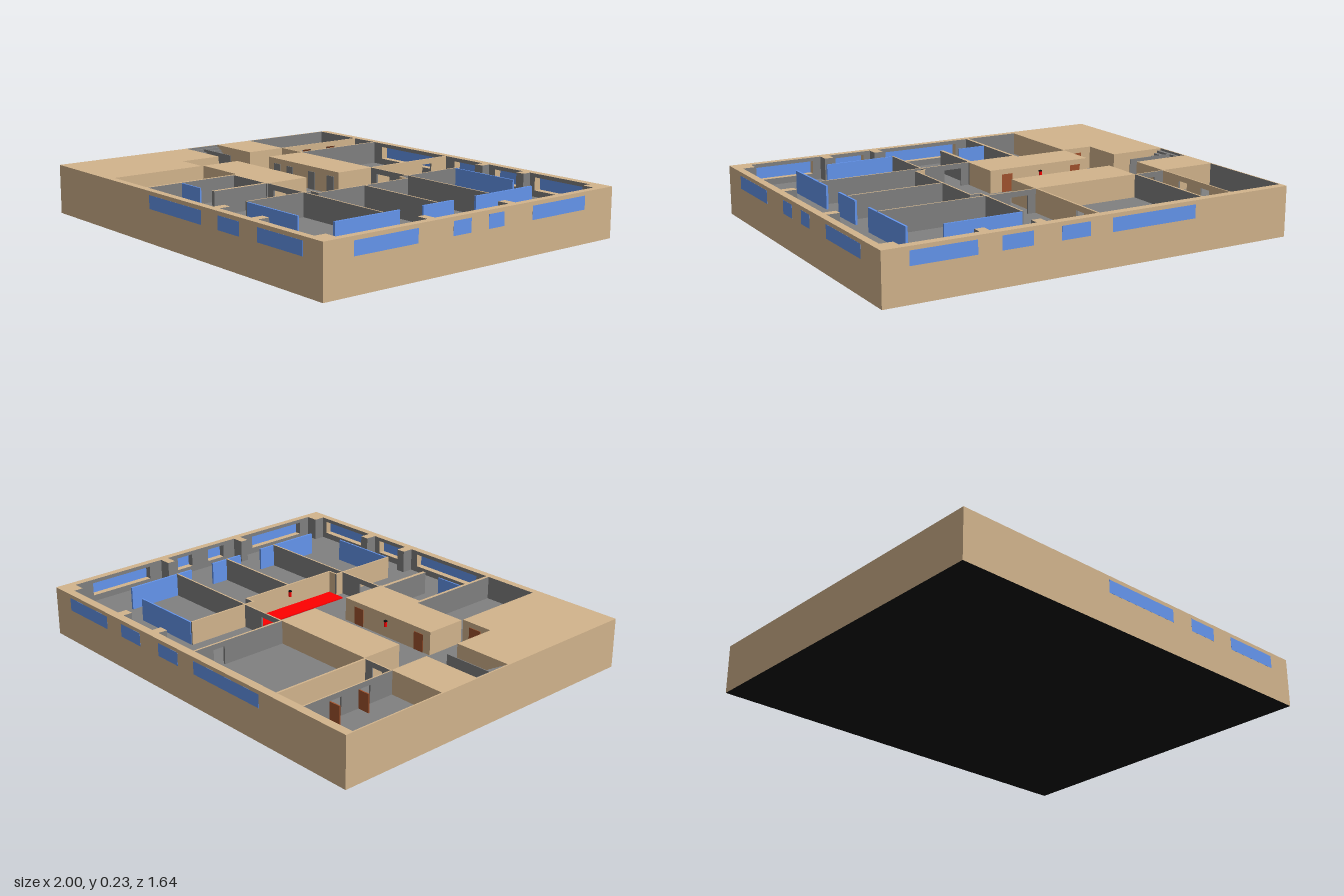
import * as THREE from 'three';

const paint = (color) => new THREE.MeshStandardMaterial({ color });
const tan = paint(0xd2b48c), grey = paint(0x808080), blue = paint(0x6495ed);
const red = paint(0xff0000), brown = paint(0xa0522d), black = paint(0x111111);

const FLOOR = 0.125, TOP = 0.235;
const SILL = 0.155, HEAD = 0.217, DOOR = 0.21;

export function createModel() {
  const model = new THREE.Group();

  // Box between limits; mats is one material or [+x, -x, +y, -y, +z, -z]
  function box(parent, name, x0, x1, y0, y1, z0, z1, mats) {
    const mesh = new THREE.Mesh(new THREE.BoxGeometry(x1 - x0, y1 - y0, z1 - z0), mats);
    mesh.position.set((x0 + x1) / 2, (y0 + y1) / 2, (z0 + z1) / 2);
    mesh.name = name;
    parent.add(mesh);
    return mesh;
  }

  // Tan-topped mats, with the listed sides ('+x', '-z' ...) tan and the rest grey
  function sides(tanSides = '') {
    return ['+x', '-x', '+y', '-y', '+z', '-z'].map((s) =>
      s === '+y' || tanSides.includes(s) ? tan : grey);
  }

  // Straight wall along its longer side, with openings [from, to, bottom, top]
  function wall(name, x0, x1, z0, z1, tanSides = '', openings = []) {
    const group = new THREE.Group();
    group.name = name;
    const alongX = x1 - x0 > z1 - z0;
    const mats = sides(tanSides);
    const piece = (a, b, y0, y1) => {
      if (b - a < 1e-4 || y1 - y0 < 1e-4) return;
      if (alongX) box(group, name + 'Piece', a, b, y0, y1, z0, z1, mats);
      else box(group, name + 'Piece', x0, x1, y0, y1, a, b, mats);
    };
    let start = alongX ? x0 : z0;
    for (const [a, b, y0, y1] of openings) {
      piece(start, a, FLOOR, TOP);
      piece(a, b, FLOOR, y0);
      piece(a, b, y1, TOP);
      start = b;
    }
    piece(start, alongX ? x1 : z1, FLOOR, TOP);
    model.add(group);
  }

  // Base slab with the floor on top
  box(model, 'baseSlab', -1, 1, 0, FLOOR, -0.82, 0.82, [tan, tan, grey, black, tan, tan]);

  // Outer walls with windows
  const windows = (spans) => spans.map(([a, b]) => [a, b, SILL, HEAD]);
  const frontSpans = [[-0.2, 0.2], [0.32, 0.47], [0.59, 0.88]];
  const backSpans = [[-0.49, -0.06], [0.05, 0.19], [0.325, 0.47], [0.58, 0.88]];
  const sideSpans = [[-0.64, -0.31], [-0.14, -0.05], [0.05, 0.15], [0.34, 0.67]];
  wall('frontWall', -1, 1, 0.785, 0.82, '+z+x-x', windows(frontSpans));
  wall('backWall', -1, 1, -0.82, -0.78, '-z+x-x', windows(backSpans));
  wall('leftWall', 0.965, 1, -0.78, 0.785, '+x', windows(sideSpans));
  wall('rightWall', -1, -0.993, -0.78, 0.785, '-x');

  // Window panes flush with the outer faces
  const T = 0.004;
  for (const [a, b] of frontSpans) box(model, 'frontWindow', a, b, SILL, HEAD, 0.8205 - T, 0.8205, blue);
  for (const [a, b] of backSpans) box(model, 'backWindow', a, b, SILL, HEAD, -0.8205, T - 0.8205, blue);
  for (const [a, b] of sideSpans) box(model, 'sideWindow', 1.0005 - T, 1.0005, SILL, HEAD, a, b, blue);

  // Piers standing against the outer walls
  for (const [x0, x1] of [[0.24, 0.285], [0.505, 0.55], [0.905, 0.965]]) {
    box(model, 'backPier', x0, x1, FLOOR, TOP, -0.78, -0.735, sides());
    box(model, 'frontPier', x0, x1, FLOOR, TOP, 0.73, 0.785, sides());
  }
  for (const [z0, z1] of [[-0.24, -0.2], [0.22, 0.26]])
    box(model, 'sidePier', 0.905, 0.965, FLOOR, TOP, z0, z1, sides());

  // Closed full-height blocks
  const solids = [
    ['backCoreBlock', -0.55, -0.01, -0.295, -0.09],
    ['frontCoreBlock', -0.55, -0.01, 0.1, 0.3],
    ['stairBackBlock', -0.993, -0.71, -0.295, -0.09],
    ['stairFrontBlock', -0.993, -0.71, 0.1, 0.31],
    ['frontCornerBlock', -0.993, -0.55, 0.31, 0.785],
    ['smallRoomHeader', -0.275, -0.01, 0.3, 0.325],
  ];
  for (const [name, x0, x1, z0, z1] of solids)
    box(model, name, x0, x1, FLOOR, TOP, z0, z1, sides(name === 'smallRoomHeader' ? '' : '+x-x+z-z'));

  // Inner partitions
  const doorway = (a, b) => [a, b, FLOOR, DOOR];
  wall('storeWall', -0.715, -0.708, -0.78, -0.295, '+x', [doorway(-0.64, -0.58), doorway(-0.48, -0.42)]);
  wall('lobbyWall', -0.56, -0.55, -0.78, -0.295, '-x');
  wall('lobbyEndWall', -0.71, -0.55, -0.3, -0.293, '+z', [doorway(-0.66, -0.6)]);
  wall('hallRoomWall', -0.02, -0.01, -0.78, -0.295, '+x', [doorway(-0.68, -0.62)]);
  wall('hallBackWall', -0.01, 0.245, -0.298, -0.29, '', [doorway(0.03, 0.12)]);
  wall('hallFrontWall', -0.01, 0.245, 0.31, 0.318, '', [doorway(0.03, 0.12)]);
  wall('officeBackWall', 0.245, 0.76, -0.298, -0.29);
  wall('officeMiddleWall', 0.295, 0.76, 0.005, 0.014);
  wall('officeFrontWall', 0.245, 0.76, 0.31, 0.318);
  wall('officeSideWall', 0.238, 0.246, -0.6, -0.24, '-x');
  wall('officeSideWall', 0.238, 0.246, 0.268, 0.62, '-x');
  wall('stageReturnWall', 0.246, 0.295, -0.248, -0.24, '+z');
  wall('stageReturnWall', 0.246, 0.295, 0.268, 0.276, '-z');
  wall('stageBackWall', 0.287, 0.295, -0.24, 0.268, '-x');
  wall('frontRoomWall', -0.278, -0.263, 0.3, 0.785);
  wall('smallRoomWall', -0.032, -0.015, 0.325, 0.605);

  // Blue partition screens
  const screens = [
    [0.246, 0.615, -0.603, -0.595], [0.246, 0.59, 0.612, 0.62], [-0.263, -0.12, 0.602, 0.609],
    [0.755, 0.765, -0.56, -0.21], [0.755, 0.765, -0.08, 0.095], [0.755, 0.765, 0.225, 0.57],
  ];
  for (const [x0, x1, z0, z1] of screens) box(model, 'screen', x0, x1, FLOOR, TOP - 0.002, z0, z1, blue);

  // Red floor panel
  box(model, 'redFloorPanel', 0.19, 0.286, FLOOR, FLOOR + 0.006, -0.238, 0.266, red);

  // Doors
  for (const z of [-0.64, -0.482]) box(model, 'openDoor', -0.772, -0.715, FLOOR, DOOR, z - 0.003, z + 0.003, brown);
  for (const x of [-0.48, -0.1]) box(model, 'frontCoreDoor', x - 0.028, x + 0.028, FLOOR, DOOR, 0.098, 0.102, brown);
  box(model, 'corridorEndDoor', -0.655, -0.59, FLOOR, DOOR, 0.307, 0.311, brown);
  for (const x of [-0.48, -0.38, -0.21, -0.07])
    box(model, 'backCoreDoor', x - 0.025, x + 0.025, FLOOR, DOOR, -0.091, -0.087, grey);

  // Two flights of steps rising toward the right wall
  const STEPS = 9;
  for (const [x0, z0, z1] of [[-0.85, -0.09, 0.004], [-0.82, 0.008, 0.1]]) {
    const run = (x0 + 0.993) / STEPS;
    for (let i = 0; i < STEPS; i++)
      box(model, 'stairStep', -0.993, x0 - i * run, FLOOR + i * 0.011, FLOOR + (i + 1) * 0.011, z0, z1, grey);
  }
  box(model, 'stairDivider', -0.993, -0.74, FLOOR, FLOOR + 0.1, 0.004, 0.008, grey);

  // Red wall cylinders with a black valve
  for (const [x, z] of [[0.28, 0.01], [-0.28, 0.093]]) {
    const unit = new THREE.Group();
    unit.name = 'fireExtinguisher';
    const body = new THREE.Mesh(new THREE.CylinderGeometry(0.007, 0.007, 0.024, 16), red);
    body.name = 'cylinder';
    const valve = new THREE.Mesh(new THREE.BoxGeometry(0.012, 0.006, 0.012), black);
    valve.name = 'valve';
    valve.position.y = 0.015;
    unit.add(body, valve);
    unit.position.set(x, 0.19, z);
    model.add(unit);
  }
  return model;
}
